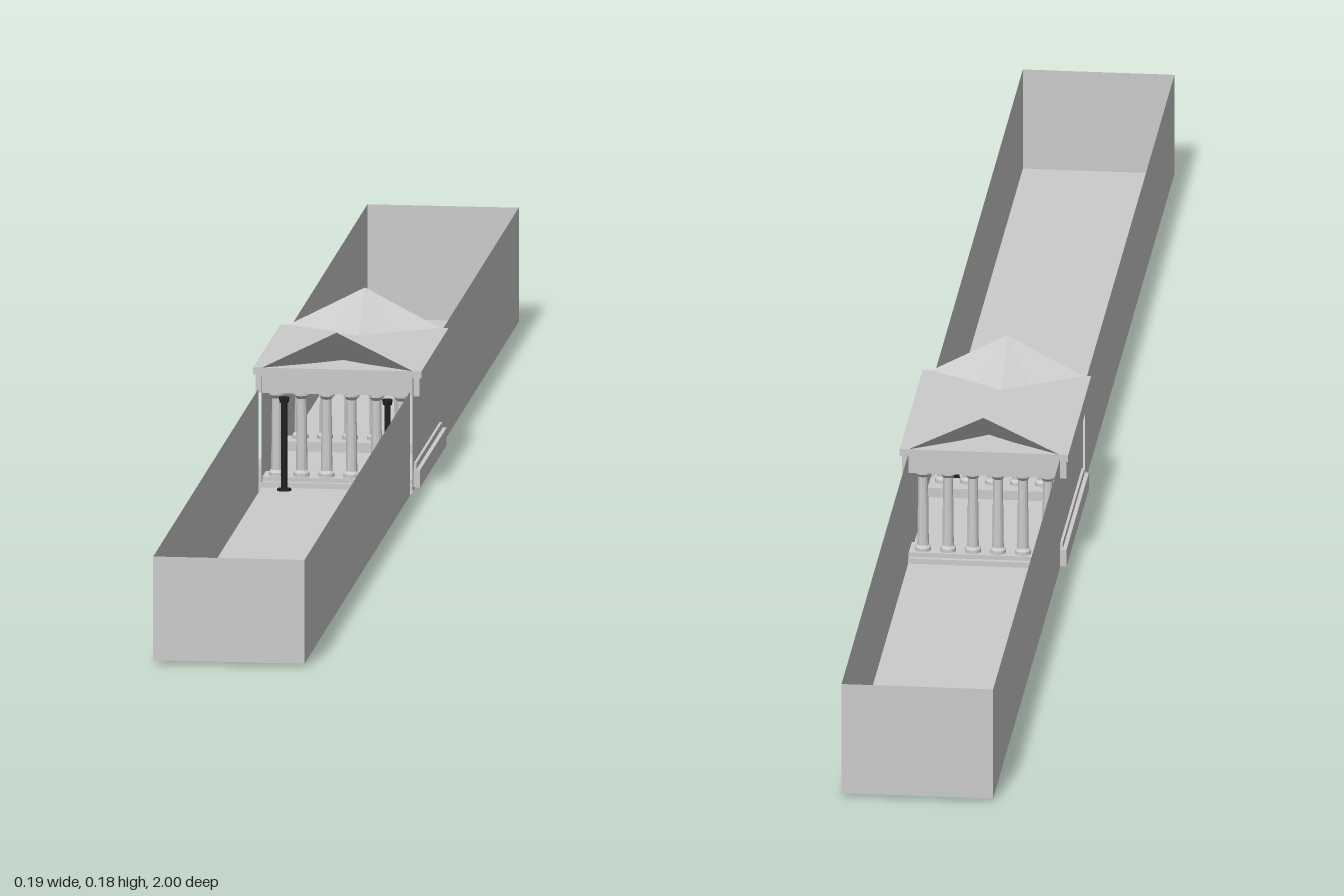
import * as THREE from 'three';

const grey = new THREE.MeshStandardMaterial({ color: 0xcccccc, flatShading: true, side: THREE.DoubleSide });
const smooth = new THREE.MeshStandardMaterial({ color: 0xcccccc });
const dark = new THREE.MeshStandardMaterial({ color: 0x222222 });

const W = 0.085;            // half width of the enclosure
const FLOOR = 0.004;
const FRONT = -0.012, BACK = -0.265; // ends of the temple

function add(parent, name, geometry, material, x = 0, y = 0, z = 0) {
  const mesh = new THREE.Mesh(geometry, material);
  mesh.name = name;
  mesh.position.set(x, y, z);
  parent.add(mesh);
  return mesh;
}

// Box given by its extents
function block(parent, name, x0, x1, y0, y1, z0, z1) {
  return add(parent, name, new THREE.BoxGeometry(x1 - x0, y1 - y0, z1 - z0), grey,
    (x0 + x1) / 2, (y0 + y1) / 2, (z0 + z1) / 2);
}

// Thin side walls and one end wall, open at the top and inner end
function enclosure(name, zInner, zOuter, height) {
  const group = new THREE.Group();
  group.name = name;
  const h = height - FLOOR, y = FLOOR + h / 2;
  for (const s of [-1, 1]) {
    add(group, 'sideWall', new THREE.PlaneGeometry(Math.abs(zOuter - zInner), h), grey,
      s * W, y, (zInner + zOuter) / 2).rotation.y = s * Math.PI / 2;
  }
  const end = add(group, 'endWall', new THREE.PlaneGeometry(2 * W, h), grey, 0, y, zOuter);
  if (zOuter < 0) end.rotation.y = Math.PI;
  return group;
}

// Hollow half pyramid: a fan from the gable peak down to a base line on the roof
function gable(parent, z, inward) {
  const peak = [0, 0.183, z - inward * 0.006];
  const base = [[-W, 0], [-0.03, 0.034], [-0.012, 0.047], [0, 0.056], [0.012, 0.047], [0.03, 0.034], [W, 0]];
  const pos = [];
  for (let i = 0; i < base.length - 1; i++) {
    const a = [base[i][0], 0.14, z + inward * base[i][1]];
    const b = [base[i + 1][0], 0.14, z + inward * base[i + 1][1]];
    pos.push(...peak, ...(inward > 0 ? a : b), ...(inward > 0 ? b : a));
  }
  const geometry = new THREE.BufferGeometry();
  geometry.setAttribute('position', new THREE.Float32BufferAttribute(pos, 3));
  geometry.computeVertexNormals();
  add(parent, 'gable', geometry, grey);
}

function column(parent, x, z) {
  const profile = [[0, 0], [0.009, 0], [0.009, 0.004], [0.0065, 0.007], [0.0055, 0.088],
    [0.009, 0.092], [0.009, 0.096], [0, 0.096]].map(p => new THREE.Vector2(...p));
  add(parent, 'column', new THREE.LatheGeometry(profile, 12), grey, x, 0.015, z);
}

function post(parent, x) {
  const group = new THREE.Group();
  group.name = 'post';
  group.position.set(x, 0, 0.002);
  add(group, 'postFoot', new THREE.CylinderGeometry(0.008, 0.008, 0.006, 16), dark, 0, 0.003, 0);
  add(group, 'postShaft', new THREE.CylinderGeometry(0.0035, 0.0035, 0.1, 12), dark, 0, 0.056, 0);
  add(group, 'postCap', new THREE.CylinderGeometry(0.006, 0.005, 0.006, 16), dark, 0, 0.107, 0);
  parent.add(group);
}

export function createModel() {
  const model = new THREE.Group();
  model.name = 'courtTemple';

  // Long courts either side of the temple, on one floor
  model.add(enclosure('frontCourt', 0.015, 1, 0.122));
  model.add(enclosure('backCourt', -0.01, -1, 0.134));
  const floor = add(model, 'floor', new THREE.PlaneGeometry(2 * W, 2), grey, 0, FLOOR, 0);
  floor.rotation.x = -Math.PI / 2;

  const temple = new THREE.Group();
  temple.name = 'temple';
  model.add(temple);

  // Stepped platform at both ends
  for (const [z, s] of [[FRONT, -1], [BACK, 1]]) {
    block(temple, 'lowerStep', -W, W, FLOOR, 0.01, Math.min(z, z + s * 0.04), Math.max(z, z + s * 0.04));
    const a = z + s * 0.006, b = z + s * 0.04;
    block(temple, 'upperStep', -W, W, 0.01, 0.015, Math.min(a, b), Math.max(a, b));
    for (let i = 0; i < 6; i++) column(temple, -0.07 + i * 0.028, z + s * 0.017);
    gable(temple, z, s < 0 ? -1 : 1);
  }

  // Side plinths
  for (const s of [-1, 1]) {
    const xs = [s * W, s * 0.0925].sort((p, q) => p - q);
    block(temple, 'plinth', xs[0], xs[1], 0.007, 0.027, BACK, -0.018);
    const ledge = [s * W, s * 0.088].sort((p, q) => p - q);
    block(temple, 'plinthMoulding', ledge[0], ledge[1], 0.027, 0.034, BACK + 0.004, -0.022);
  }

  // Entablature and flat roof
  block(temple, 'frieze', -0.092, 0.092, 0.111, 0.132, BACK + 0.003, FRONT - 0.003);
  block(temple, 'cornice', -0.0945, 0.0945, 0.132, 0.14, BACK, FRONT);

  // Slim dark posts standing in the gap before the temple
  for (const x of [-0.058, 0.058]) post(model, x);
  return model;
}
